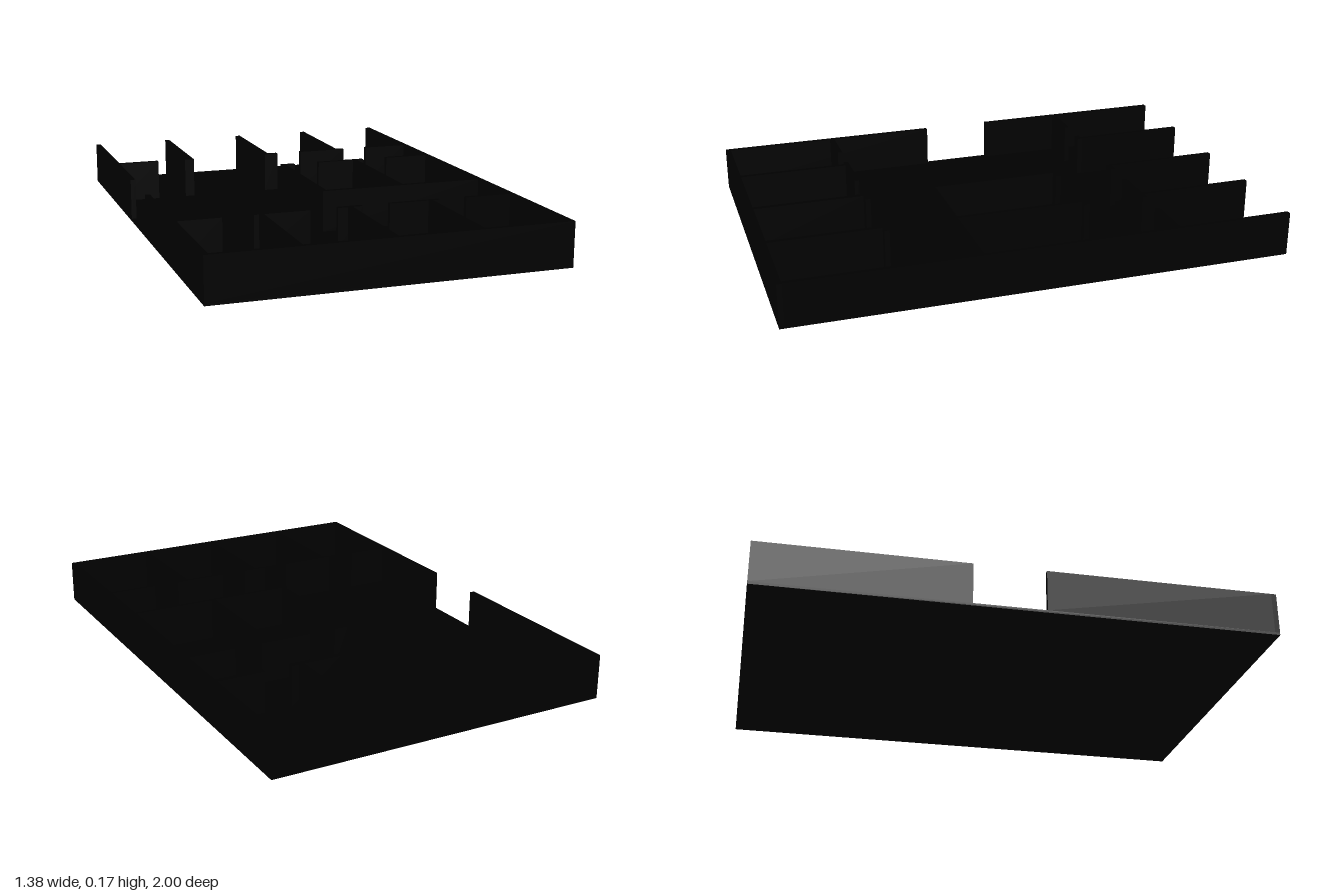
import * as THREE from 'three';

const TOP = 0.175; // wall height
const FLOOR = 0.01; // slab thickness
const T = 0.02; // wall thickness

export function createModel() {
  const model = new THREE.Group();
  model.name = 'floorPlan';
  const black = new THREE.MeshStandardMaterial({ color: 0x000000 });
  black.name = 'black';

  function addBox(name, x0, x1, y0, y1, z0, z1, parent) {
    const mesh = new THREE.Mesh(new THREE.BoxGeometry(x1 - x0, y1 - y0, z1 - z0), black);
    mesh.position.set((x0 + x1) / 2, (y0 + y1) / 2, (z0 + z1) / 2);
    mesh.name = name;
    parent.add(mesh);
  }

  // Wall running along x, or along z, centred on the other coordinate
  const wallX = (name, z, x0, x1, parent) =>
    addBox(name, x0, x1, FLOOR, TOP, z - T / 2, z + T / 2, parent);
  const wallZ = (name, x, z0, z1, parent) =>
    addBox(name, x - T / 2, x + T / 2, FLOOR, TOP, z0, z1, parent);

  addBox('floor', -0.69, 0.69, 0, FLOOR, -1, 1, model);

  // Outer walls: open back, entrance gap in the -x side
  const outer = new THREE.Group();
  outer.name = 'outerWalls';
  model.add(outer);
  wallX('frontWall', 0.99, -0.69, 0.69, outer);
  wallZ('leftWall', 0.68, -1, 0.98, outer);
  wallZ('rightWallFront', -0.68, 0.09, 0.98, outer);
  wallZ('rightWallBack', -0.68, -1, -0.19, outer);

  // Partitions between the front rooms and between the back rooms
  const partitions = new THREE.Group();
  partitions.name = 'partitions';
  model.add(partitions);
  for (const x of [-0.35, 0, 0.33]) {
    wallZ('frontPartition', x, 0.54, 0.98, partitions);
    wallZ('backPartition', x, -1, -0.54, partitions);
  }
  // Central block of rooms
  for (const x of [0, 0.33]) wallZ('middlePartition', x, -0.27, 0.24, partitions);
  wallX('middleFrontWall', 0.25, -0.01, 0.67, partitions);

  // Corridor walls broken by door openings
  const corridors = new THREE.Group();
  corridors.name = 'corridorWalls';
  model.add(corridors);
  const rows = [
    [0.53, [[-0.67, -0.5], [-0.38, -0.16], [-0.05, 0.05], [0.16, 0.37], [0.48, 0.67]]],
    [-0.28, [[-0.01, 0.05], [0.16, 0.37], [0.48, 0.67]]],
    [-0.53, [[-0.67, -0.5], [-0.38, -0.34], [-0.01, 0.05], [0.16, 0.37], [0.48, 0.67]]],
  ];
  for (const [z, spans] of rows) {
    for (const [x0, x1] of spans) wallX('corridorWall', z, x0, x1, corridors);
  }

  return model;
}
